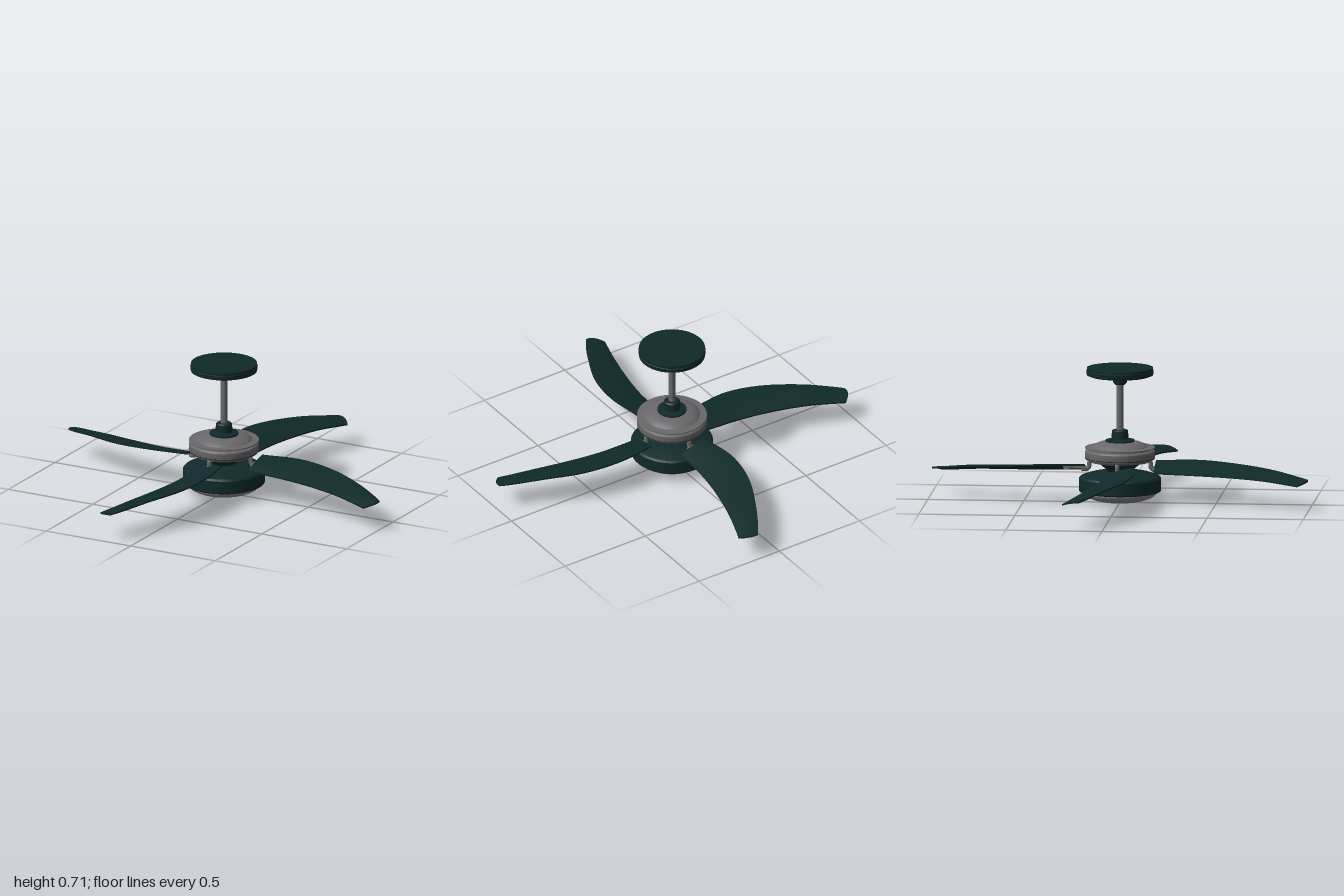
import * as THREE from 'three';
import { toCreasedNormals } from 'three/addons/utils/BufferGeometryUtils.js';

const mat = (name, color) => Object.assign(new THREE.MeshStandardMaterial({ color }), { name });

// Round part from [radius, height] pairs listed bottom to top
function turned(name, profile, material) {
  const pts = profile.map(([r, y]) => new THREE.Vector2(r, y));
  const geo = toCreasedNormals(new THREE.LatheGeometry(pts, 48), 0.5);
  const mesh = new THREE.Mesh(geo, material);
  mesh.name = name;
  return mesh;
}

// Curved, drooping blade lofted between its two edge curves
function bladeGeometry() {
  const curve = (pts) => new THREE.CatmullRomCurve3(pts.map((p) => new THREE.Vector3(...p)));
  const high = curve([[0.18, 0.206, -0.085], [0.4, 0.207, -0.112], [0.6, 0.195, -0.078],
    [0.8, 0.178, 0.012], [0.93, 0.157, 0.085], [0.99, 0.147, 0.125]]);
  const low = curve([[0.18, 0.163, 0.065], [0.4, 0.157, 0.075], [0.58, 0.153, 0.105],
    [0.75, 0.146, 0.148], [0.88, 0.134, 0.19], [0.94, 0.128, 0.212]]);
  const rows = 28, cols = 8, ring = 2 * (cols + 1);
  const pos = [], idx = [];
  for (let i = 0; i <= rows; i++) {
    const a = high.getPoint(i / rows), b = low.getPoint(i / rows);
    for (let k = 0; k < ring; k++) {
      const top = k <= cols;
      const v = (top ? k : ring - 1 - k) / cols;
      const p = a.clone().lerp(b, v);
      const bulge = 4 * v * (1 - v);
      p.y += 0.006 * bulge + (top ? 0.004 : -0.004);
      // rounded tip
      p.x += 0.018 * bulge * Math.pow(i / rows, 12);
      pos.push(p.x, p.y, p.z);
    }
  }
  for (let i = 0; i < rows; i++) {
    for (let k = 0; k < ring; k++) {
      const a = i * ring + k, b = i * ring + (k + 1) % ring;
      idx.push(a, b, a + ring, b, b + ring, a + ring);
    }
  }
  // end caps
  for (let k = 0; k < cols; k++) {
    const a = k, b = k + 1, c = ring - 2 - k, d = ring - 1 - k, e = rows * ring;
    idx.push(a, d, b, b, d, c, e + a, e + b, e + d, e + b, e + c, e + d);
  }
  const geo = new THREE.BufferGeometry();
  geo.setAttribute('position', new THREE.Float32BufferAttribute(pos, 3));
  geo.setIndex(idx);
  return toCreasedNormals(geo, 0.6);
}

export function createModel() {
  const green = mat('dark green enamel', 0x10292a);
  const metal = mat('brushed metal', 0x6a686a);
  const glass = mat('frosted glass', 0x8a888a);
  const fan = new THREE.Group();
  fan.name = 'ceilingFan';

  // Ceiling mount and rod
  fan.add(turned('canopy', [[0, 0.617], [0.025, 0.617], [0.036, 0.628], [0.038, 0.645], [0.06, 0.648],
    [0.15, 0.66], [0.172, 0.668], [0.175, 0.69], [0.172, 0.692], [0.172, 0.706], [0, 0.706]], green));
  fan.add(turned('rod', [[0.018, 0.33], [0.018, 0.63]], metal));
  fan.add(turned('coupling', [[0.075, 0.315], [0.075, 0.328], [0.044, 0.334], [0.042, 0.375],
    [0.036, 0.381], [0, 0.381]], green));

  // Motor housing
  fan.add(turned('motorHousing', [[0, 0.212], [0.12, 0.212], [0.16, 0.216], [0.165, 0.224], [0.178, 0.227],
    [0.181, 0.235], [0.181, 0.268], [0.176, 0.275], [0.165, 0.278], [0.165, 0.283], [0.181, 0.284],
    [0.181, 0.29], [0.145, 0.292], [0.135, 0.302], [0.11, 0.313], [0.07, 0.32], [0, 0.32]], metal));
  fan.add(turned('motorSeam', [[0.1822, 0.233], [0.1822, 0.237]], green));

  // Neck and light kit
  fan.add(turned('neck', [[0.06, 0.15], [0.068, 0.17], [0.09, 0.19], [0.11, 0.205], [0.11, 0.214]], green));
  fan.add(turned('lightBowl', [[0.18, 0.058], [0.208, 0.058], [0.213, 0.064], [0.213, 0.128], [0.205, 0.137],
    [0.16, 0.152], [0.1, 0.165], [0, 0.165]], green));
  const dome = [[0, 0]];
  for (let i = 1; i <= 12; i++) {
    const t = (i / 12) * Math.PI / 2;
    dome.push([0.192 * Math.sin(t), 0.056 * (1 - Math.cos(t))]);
  }
  dome.push([0.192, 0.064]);
  fan.add(turned('lightDome', dome, glass));

  // Blades and their brackets, repeated around the motor
  const bladeGeo = bladeGeometry();
  const armPath = new THREE.CatmullRomCurve3([[0.145, 0.222], [0.158, 0.212], [0.16, 0.188],
    [0.172, 0.174], [0.2, 0.172]].map(([x, y]) => new THREE.Vector3(x, y, 0)));
  const armGeo = new THREE.TubeGeometry(armPath, 16, 0.012, 10);
  const plate = new THREE.Shape();
  plate.moveTo(0.165, -0.02);
  plate.lineTo(0.29, -0.045);
  plate.lineTo(0.295, -0.02);
  plate.lineTo(0.235, 0);
  plate.lineTo(0.295, 0.02);
  plate.lineTo(0.29, 0.045);
  plate.lineTo(0.165, 0.02);
  const plateGeo = new THREE.ExtrudeGeometry(plate, { depth: 0.01, bevelEnabled: false });
  plateGeo.rotateX(Math.PI / 2 + 0.28);
  plateGeo.translate(0, 0.183, 0);

  for (let i = 0; i < 4; i++) {
    const arm = new THREE.Group();
    arm.name = 'bladeAssembly' + (i + 1);
    for (const [name, geo, m] of [['blade', bladeGeo, green], ['bracketArm', armGeo, metal],
      ['bracketPlate', plateGeo, metal]]) {
      const mesh = new THREE.Mesh(geo, m);
      mesh.name = name;
      arm.add(mesh);
    }
    arm.rotation.y = i * Math.PI / 2;
    fan.add(arm);
  }
  return fan;
}
